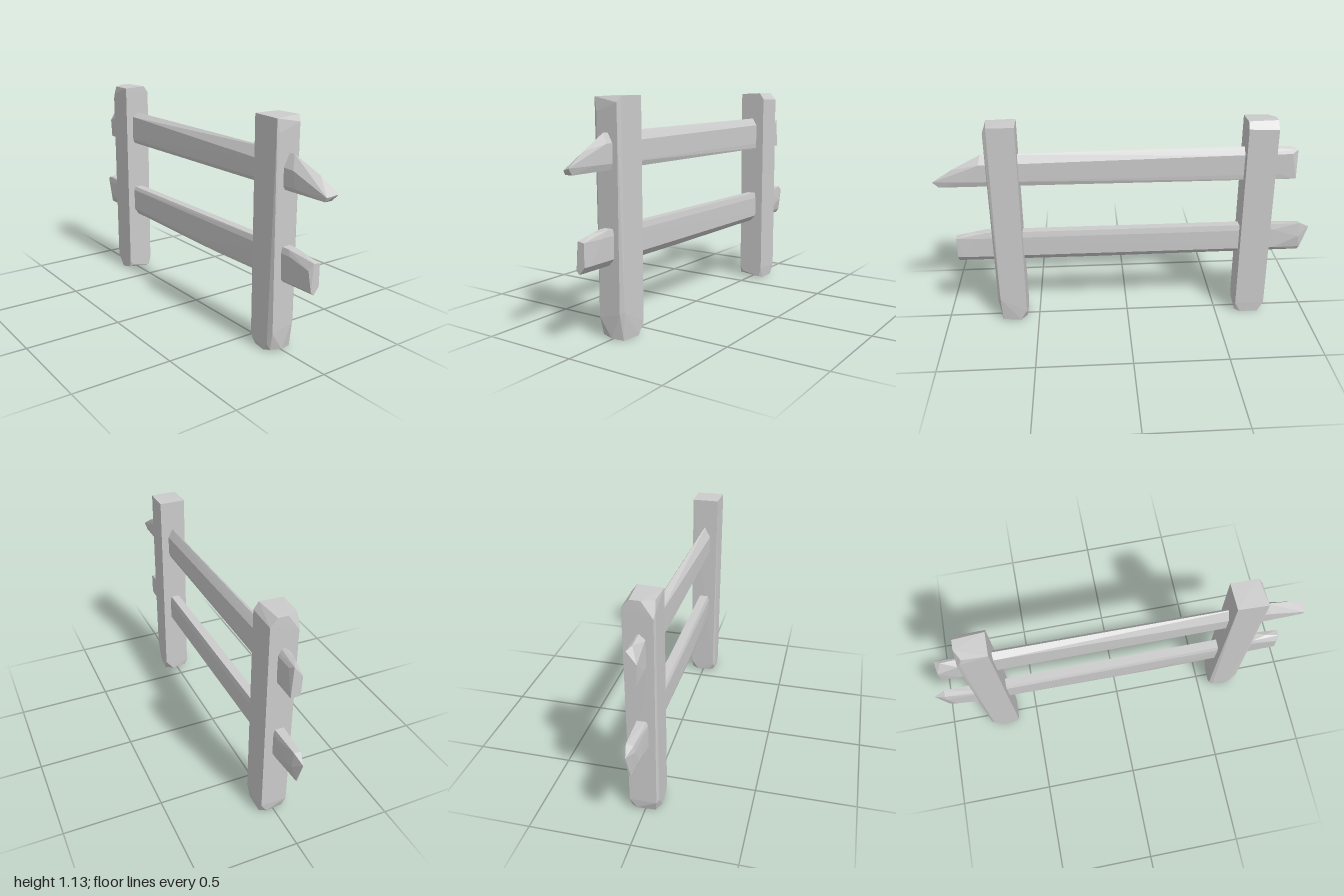
import * as THREE from 'three';
import { ConvexGeometry } from 'three/addons/geometries/ConvexGeometry.js';

const material = new THREE.MeshStandardMaterial({ color: 0xcccccc, flatShading: true });

// One hewn piece of timber: the faceted hull of its cut corners
function timber(name, corners) {
  const geometry = new ConvexGeometry(corners.map((c) => new THREE.Vector3(...c)));
  const mesh = new THREE.Mesh(geometry, material);
  mesh.name = name;
  return mesh;
}

export function createModel() {
  const fence = new THREE.Group();
  fence.name = 'fence';

  // Left post: back of the top cut away, front outer corner nicked
  fence.add(timber('leftPost', [
    // foot
    [-0.75, 0, 0.05], [-0.70, 0, 0.07], [-0.62, 0.02, 0.07], [-0.61, 0.03, 0.05],
    [-0.61, 0.01, -0.06], [-0.64, 0, -0.07], [-0.74, 0, -0.07], [-0.765, 0.01, -0.04],
    // lower shaft
    [-0.77, 0.06, 0.06], [-0.755, 0.07, 0.07], [-0.61, 0.06, 0.07],
    [-0.61, 0.06, -0.073], [-0.77, 0.06, -0.073],
    // upper shaft and top
    [-0.767, 1.05, 0.065], [-0.75, 1.08, 0.07], [-0.735, 1.125, 0.065],
    [-0.61, 1.125, 0.07], [-0.765, 1.13, 0.01], [-0.765, 1.13, -0.04],
    [-0.61, 1.13, -0.05], [-0.61, 1.095, -0.075], [-0.765, 1.09, -0.075],
  ]));

  // Right post: long narrow chamfer down the back outer edge
  fence.add(timber('rightPost', [
    // foot
    [0.59, 0, 0.06], [0.66, 0, 0.07], [0.70, 0.01, 0.06], [0.715, 0.005, 0],
    [0.70, 0, -0.06], [0.60, 0, -0.07], [0.565, 0.005, -0.03], [0.565, 0.01, 0.04],
    // lower shaft
    [0.562, 0.05, 0.065], [0.585, 0.03, 0.073], [0.69, 0.04, 0.073], [0.72, 0.10, 0.065],
    [0.72, 0.13, -0.055], [0.705, 0.14, -0.073], [0.565, 0.06, -0.073],
    // upper shaft and top
    [0.72, 0.75, -0.045], [0.562, 1.13, 0.07], [0.715, 1.125, 0.073], [0.72, 1.06, 0.06],
    [0.72, 1.10, -0.058], [0.70, 1.13, -0.07], [0.56, 1.13, -0.07],
  ]));

  // Top rail: ridged upper edge, right end sharpened to a low point
  fence.add(timber('topRail', [
    // left end
    [-0.89, 0.80, 0.02], [-0.89, 0.80, -0.028], [-0.89, 0.90, 0.025],
    [-0.89, 0.96, -0.02], [-0.86, 0.973, 0], [-0.78, 0.95, 0.028], [-0.86, 0.94, -0.03],
    // body
    [-0.62, 0.98, -0.005], [0.75, 0.967, -0.003], [-0.60, 0.955, 0.028],
    [0.60, 0.91, 0.03], [0.78, 0.90, 0.03], [-0.60, 0.94, -0.03], [0.76, 0.92, -0.03],
    [-0.80, 0.82, 0.03], [0.80, 0.82, 0.03], [-0.80, 0.83, -0.03], [0.85, 0.83, -0.03],
    [0.80, 0.80, -0.02],
    // right point
    [0.90, 0.895, -0.02], [1.0, 0.833, -0.028], [0.98, 0.82, 0.02],
    [0.97, 0.80, 0.02], [0.97, 0.80, -0.02],
  ]));

  // Bottom rail: flat upper edge, left end cut to a slanted wedge
  fence.add(timber('bottomRail', [
    // left end
    [-1.0, 0.50, -0.005], [-0.94, 0.53, -0.02], [-0.94, 0.525, 0.015],
    [-0.96, 0.38, -0.01], [-0.95, 0.36, 0], [-0.90, 0.41, 0.025], [-0.94, 0.49, 0.02],
    [-0.94, 0.45, -0.025],
    // body
    [-0.75, 0.53, 0.022], [0.76, 0.53, 0.022], [0.76, 0.53, -0.024], [-0.75, 0.53, -0.024],
    [-0.75, 0.51, 0.03], [0.78, 0.50, 0.03], [-0.80, 0.50, -0.03], [0.80, 0.50, -0.03],
    [-0.79, 0.40, 0.03], [0.05, 0.385, 0.03], [0.20, 0.357, 0.024],
    [-0.80, 0.39, -0.03], [0.88, 0.39, -0.028], [-0.60, 0.36, 0], [0.20, 0.355, 0],
    // right end
    [0.84, 0.525, 0], [0.915, 0.505, 0.01], [0.915, 0.50, -0.025], [0.90, 0.47, 0.028],
    [0.915, 0.37, 0.022], [0.915, 0.355, 0.005], [0.915, 0.39, -0.025],
  ]));

  return fence;
}
